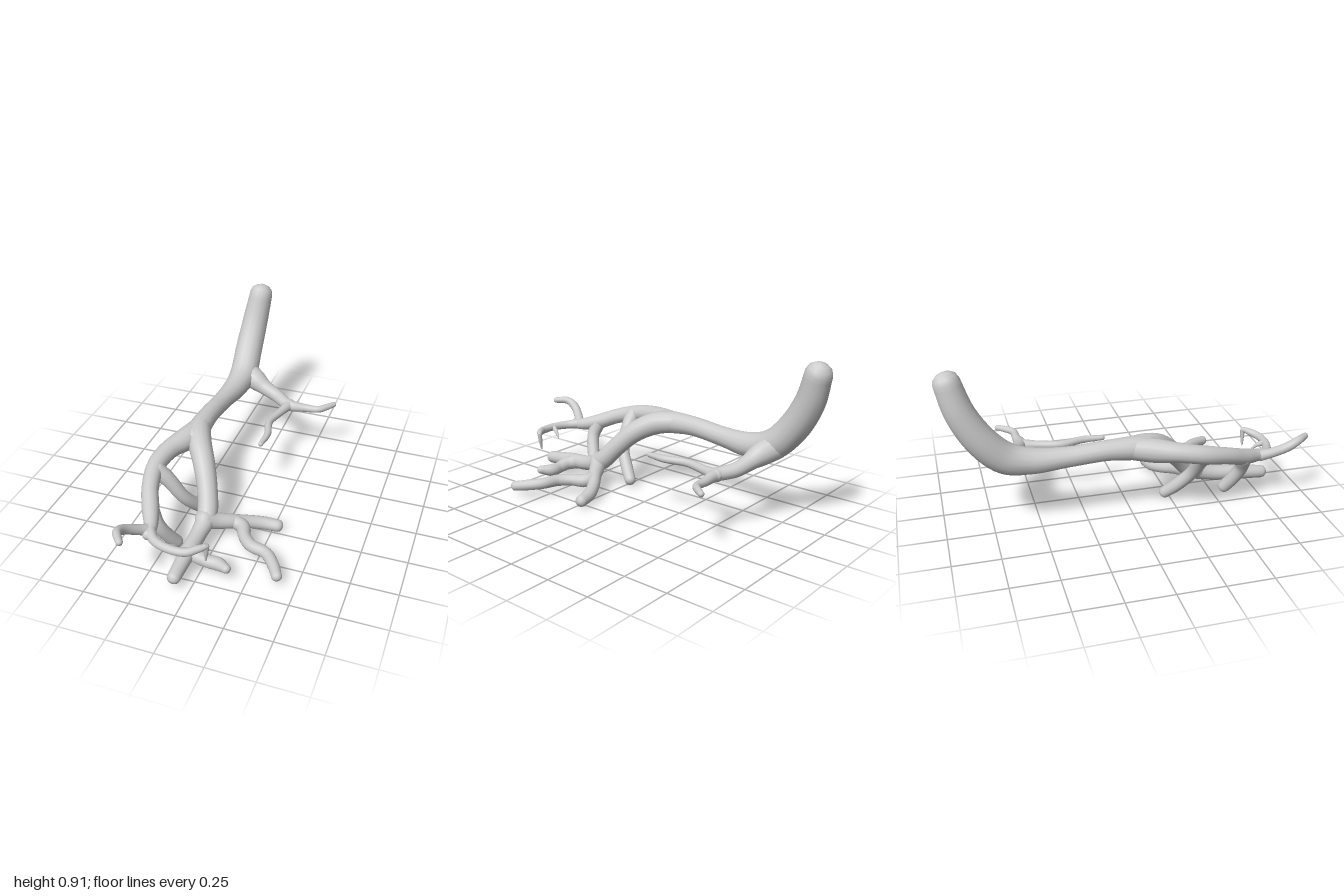
import * as THREE from 'three';

const SIDES = 14;
const material = new THREE.MeshStandardMaterial({ color: 0xcccccc, roughness: 0.8 });

// Round-ended limb swept through points given as [x, y, z, radius]
function limb(name, points, steps = 6) {
  const curve = new THREE.CatmullRomCurve3(points.map(p => new THREE.Vector3(p[0], p[1], p[2])));
  const radii = new THREE.CatmullRomCurve3(points.map((p, i) => new THREE.Vector3(i, p[3], 0)), false, 'catmullrom', 0.4);
  const count = (points.length - 1) * steps;
  const rings = [];
  for (let i = 0; i <= count; i++) {
    const t = i / count;
    rings.push({ c: curve.getPoint(t), d: curve.getTangent(t), r: Math.max(radii.getPoint(t).y, 0.003) });
  }
  // Domed caps reach past both end points by most of the radius
  const dome = (end, sign) => [0.5, 0.85, 0.99].map(s => ({
    c: end.c.clone().addScaledVector(end.d, sign * end.r * s * 0.8),
    d: end.d,
    r: end.r * Math.sqrt(1 - s * s),
  }));
  const all = [...dome(rings[0], -1).reverse(), ...rings, ...dome(rings[count], 1)];

  const position = [], index = [];
  const normal = new THREE.Vector3(0.31, 0.83, 0.46), side = new THREE.Vector3(), v = new THREE.Vector3();
  for (const { c, d, r } of all) {
    normal.addScaledVector(d, -normal.dot(d)).normalize();
    side.crossVectors(d, normal);
    for (let j = 0; j < SIDES; j++) {
      const a = (j / SIDES) * Math.PI * 2;
      v.copy(c).addScaledVector(normal, r * Math.cos(a)).addScaledVector(side, r * Math.sin(a));
      position.push(v.x, v.y, v.z);
    }
  }
  for (let i = 0; i < all.length - 1; i++) {
    for (let j = 0; j < SIDES; j++) {
      const a = i * SIDES + j, b = i * SIDES + (j + 1) % SIDES;
      index.push(a, b, a + SIDES, b, b + SIDES, a + SIDES);
    }
  }
  // Close the tips
  const last = (all.length - 1) * SIDES;
  for (let j = 1; j < SIDES - 1; j++) {
    index.push(0, j + 1, j, last, last + j, last + j + 1);
  }
  const geometry = new THREE.BufferGeometry();
  geometry.setAttribute('position', new THREE.Float32BufferAttribute(position, 3));
  geometry.setIndex(index);
  geometry.computeVertexNormals();
  const mesh = new THREE.Mesh(geometry, material);
  mesh.name = name;
  return mesh;
}

export function createModel() {
  const group = new THREE.Group();
  group.name = 'branch';
  const add = (name, points) => group.add(limb(name, points));

  // Trunk: upright at the back, then level towards the front
  add('trunk', [
    [-0.21, 0.86, -0.93, 0.07], [-0.23, 0.7, -0.88, 0.078], [-0.24, 0.54, -0.785, 0.083],
    [-0.235, 0.43, -0.67, 0.083], [-0.24, 0.4, -0.54, 0.07], [-0.255, 0.405, -0.35, 0.055],
    [-0.265, 0.42, -0.15, 0.055], [-0.265, 0.415, 0, 0.064], [-0.265, 0.405, 0.09, 0.062],
  ]);

  // Rear side twig and its forward offshoot
  add('rearTwig', [
    [-0.23, 0.43, -0.7, 0.07], [-0.15, 0.4, -0.66, 0.065], [-0.08, 0.37, -0.635, 0.047], [0, 0.345, -0.61, 0.04],
    [0.1, 0.33, -0.55, 0.035], [0.2, 0.325, -0.557, 0.024], [0.28, 0.328, -0.563, 0.02],
    [0.32, 0.33, -0.6, 0.019], [0.355, 0.33, -0.645, 0.016],
  ]);
  add('rearTwigOffshoot', [
    [0.1, 0.33, -0.56, 0.035], [0.075, 0.33, -0.46, 0.024], [0.045, 0.33, -0.33, 0.022],
    [0.075, 0.33, -0.2, 0.02], [0.07, 0.33, -0.09, 0.014],
  ]);

  // Right-hand fork with its two descending pegs
  add('rightFork', [
    [-0.265, 0.415, -0.02, 0.06], [-0.3, 0.405, 0.1, 0.065], [-0.35, 0.4, 0.22, 0.053], [-0.37, 0.38, 0.35, 0.05],
    [-0.34, 0.34, 0.5, 0.045], [-0.29, 0.295, 0.61, 0.045], [-0.245, 0.27, 0.71, 0.035], [-0.235, 0.265, 0.77, 0.028],
  ]);
  add('rearPeg', [
    [-0.36, 0.37, 0.38, 0.05], [-0.3, 0.32, 0.37, 0.042], [-0.22, 0.2, 0.345, 0.036],
    [-0.165, 0.1, 0.27, 0.036], [-0.13, 0.045, 0.215, 0.033],
  ]);
  add('frontPeg', [
    [-0.29, 0.29, 0.61, 0.045], [-0.25, 0.21, 0.62, 0.038], [-0.21, 0.12, 0.585, 0.037], [-0.18, 0.06, 0.55, 0.035],
  ]);

  // Twigs at the end of the right-hand fork
  add('outerTwig', [
    [-0.245, 0.265, 0.73, 0.032], [-0.285, 0.295, 0.78, 0.027], [-0.325, 0.34, 0.85, 0.026],
    [-0.325, 0.37, 0.91, 0.023], [-0.28, 0.372, 0.975, 0.018],
  ]);
  add('innerTwig', [
    [-0.25, 0.27, 0.72, 0.032], [-0.19, 0.262, 0.79, 0.026], [-0.1, 0.262, 0.825, 0.023],
    [-0.01, 0.262, 0.822, 0.022], [0.04, 0.27, 0.79, 0.02], [0.072, 0.275, 0.765, 0.015],
  ]);
  add('hangingSpike', [[0.076, 0.275, 0.76, 0.014], [0.073, 0.23, 0.758, 0.011], [0.067, 0.178, 0.757, 0.005]]);
  add('smallSpike', [[-0.1, 0.265, 0.82, 0.018], [-0.083, 0.245, 0.78, 0.011], [-0.072, 0.212, 0.75, 0.004]]);

  // Left-hand fork curving down to the floor
  add('leftFork', [
    [-0.265, 0.42, -0.02, 0.06], [-0.22, 0.4, 0.1, 0.065], [-0.155, 0.34, 0.205, 0.06], [-0.1, 0.24, 0.3, 0.055],
    [-0.07, 0.145, 0.39, 0.055], [-0.075, 0.105, 0.5, 0.045], [-0.08, 0.09, 0.64, 0.043], [-0.083, 0.07, 0.82, 0.036],
  ]);

  // Low side limbs of the left-hand fork
  add('lowRearLimb', [
    [-0.08, 0.14, 0.42, 0.055], [-0.02, 0.115, 0.38, 0.045], [0.05, 0.095, 0.335, 0.04],
    [0.12, 0.07, 0.28, 0.036], [0.2, 0.05, 0.24, 0.036], [0.28, 0.04, 0.225, 0.034],
  ]);
  add('lowForwardLimb', [
    [0.05, 0.095, 0.325, 0.036], [0.115, 0.085, 0.345, 0.039], [0.155, 0.083, 0.42, 0.034], [0.21, 0.083, 0.475, 0.034],
    [0.3, 0.083, 0.505, 0.032], [0.36, 0.075, 0.57, 0.031], [0.4, 0.065, 0.635, 0.028],
  ]);
  add('lowFrontLimb', [
    [-0.085, 0.09, 0.6, 0.045], [-0.03, 0.082, 0.64, 0.04], [0.03, 0.07, 0.648, 0.035],
    [0.09, 0.07, 0.65, 0.036], [0.15, 0.082, 0.685, 0.024],
  ]);

  return group;
}
